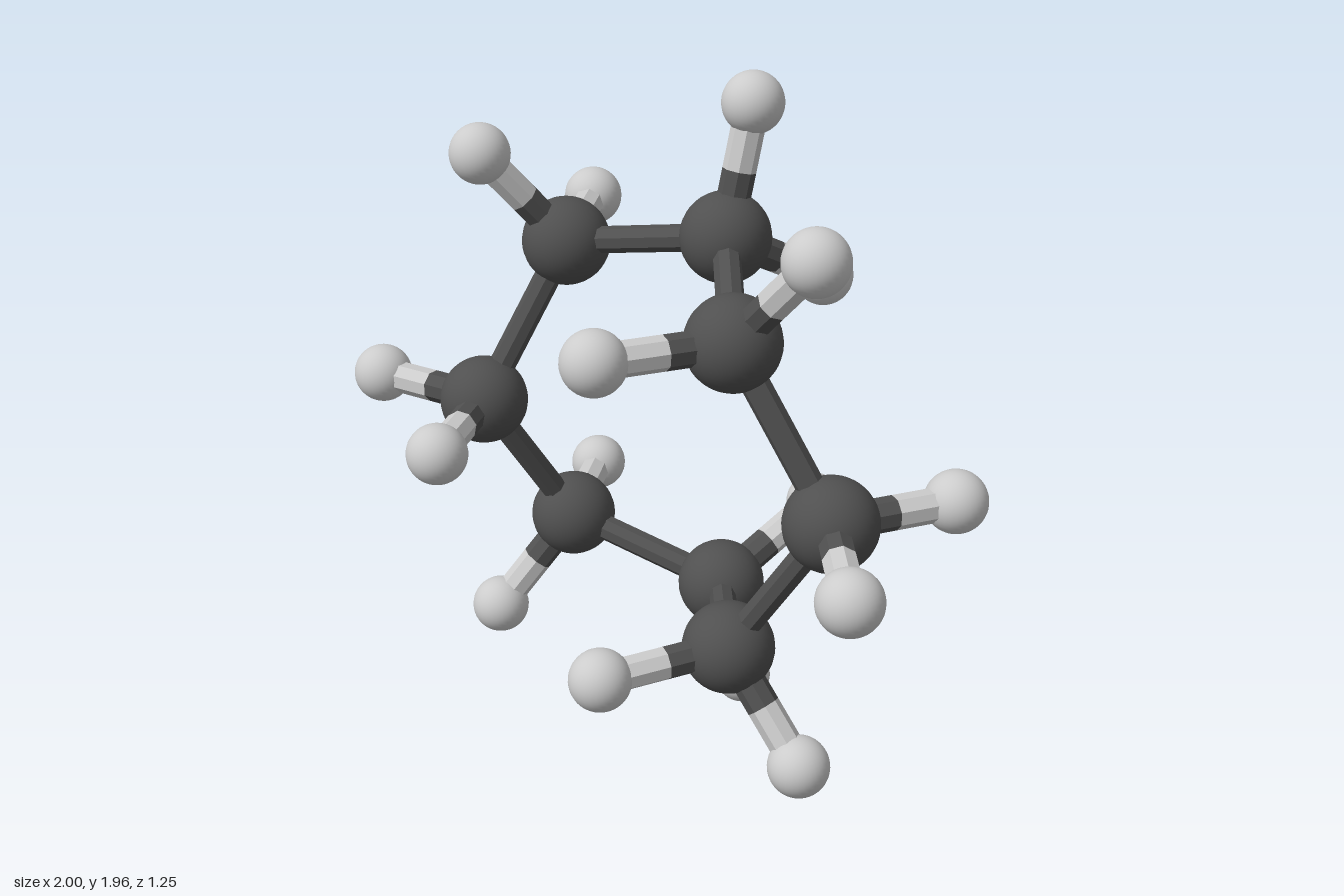
import * as THREE from 'three';

const MID = 0.984; // height of the mirror plane
const V = (a) => new THREE.Vector3(...a);
const mirror = ([x, y, z]) => [x, 2 * MID - y, z];

// Upper half of the ring: each carbon with its two hydrogens
const upper = [
  { c: [-0.567, MID, 0.235], h: [[-0.915, MID, 0.355], [-0.36, MID, 0.537]] },
  { c: [-0.506, 1.423, -0.03], h: [[-0.597, 1.702, 0.19], [-0.744, 1.434, -0.314]] },
  { c: [-0.03, 1.523, -0.21], h: [[-0.025, 1.88, -0.297], [0.02, 1.346, -0.538]] },
  { c: [0.358, 1.428, 0.11], h: [[0.603, 1.702, 0.073], [0.249, 1.438, 0.464]] },
  { c: [0.615, MID, 0], h: [[0.915, MID, 0.234], [0.736, MID, -0.333]] },
];

export function createModel() {
  const model = new THREE.Group();
  model.name = 'ringMolecule';
  const dark = new THREE.MeshStandardMaterial({ color: 0x505050 });
  const light = new THREE.MeshStandardMaterial({ color: 0xcccccc });
  const darkRod = new THREE.MeshStandardMaterial({ color: 0x505050, flatShading: true });
  const lightRod = new THREE.MeshStandardMaterial({ color: 0xcccccc, flatShading: true });
  const carbonBall = new THREE.SphereGeometry(0.126, 32, 24);
  const hydrogenBall = new THREE.SphereGeometry(0.085, 32, 24);

  const add = (parent, geometry, material, name, position) => {
    const mesh = new THREE.Mesh(geometry, material);
    mesh.name = name;
    mesh.position.copy(position);
    parent.add(mesh);
    return mesh;
  };

  // Straight rod between two points
  const rod = (parent, a, b, radius, material, name) => {
    const along = b.clone().sub(a);
    const geometry = new THREE.CylinderGeometry(radius, radius, along.length(), 8);
    const mesh = add(parent, geometry, material, name, a.clone().lerp(b, 0.5));
    mesh.quaternion.setFromUnitVectors(new THREE.Vector3(0, 1, 0), along.normalize());
  };

  // Complete the ring by mirroring the three off-plane carbons downwards
  const lower = upper.slice(1, 4).reverse().map(({ c, h }) => ({ c: mirror(c), h: h.map(mirror) }));
  const ring = [...upper, ...lower];

  ring.forEach(({ c, h }, i) => {
    const unit = new THREE.Group();
    unit.name = `ringUnit${i + 1}`;
    model.add(unit);
    const centre = V(c);
    add(unit, carbonBall, dark, 'carbonAtom', centre);
    rod(unit, centre, V(ring[(i + 1) % ring.length].c), 0.038, darkRod, 'ringBond');

    // Hydrogen bonds are dark on the carbon half and light on the outer half
    h.forEach((p) => {
      const end = V(p);
      const middle = centre.clone().lerp(end, 0.5);
      add(unit, hydrogenBall, light, 'hydrogenAtom', end);
      rod(unit, centre, middle, 0.046, darkRod, 'innerBond');
      rod(unit, middle, end, 0.046, lightRod, 'outerBond');
    });
  });
  return model;
}
